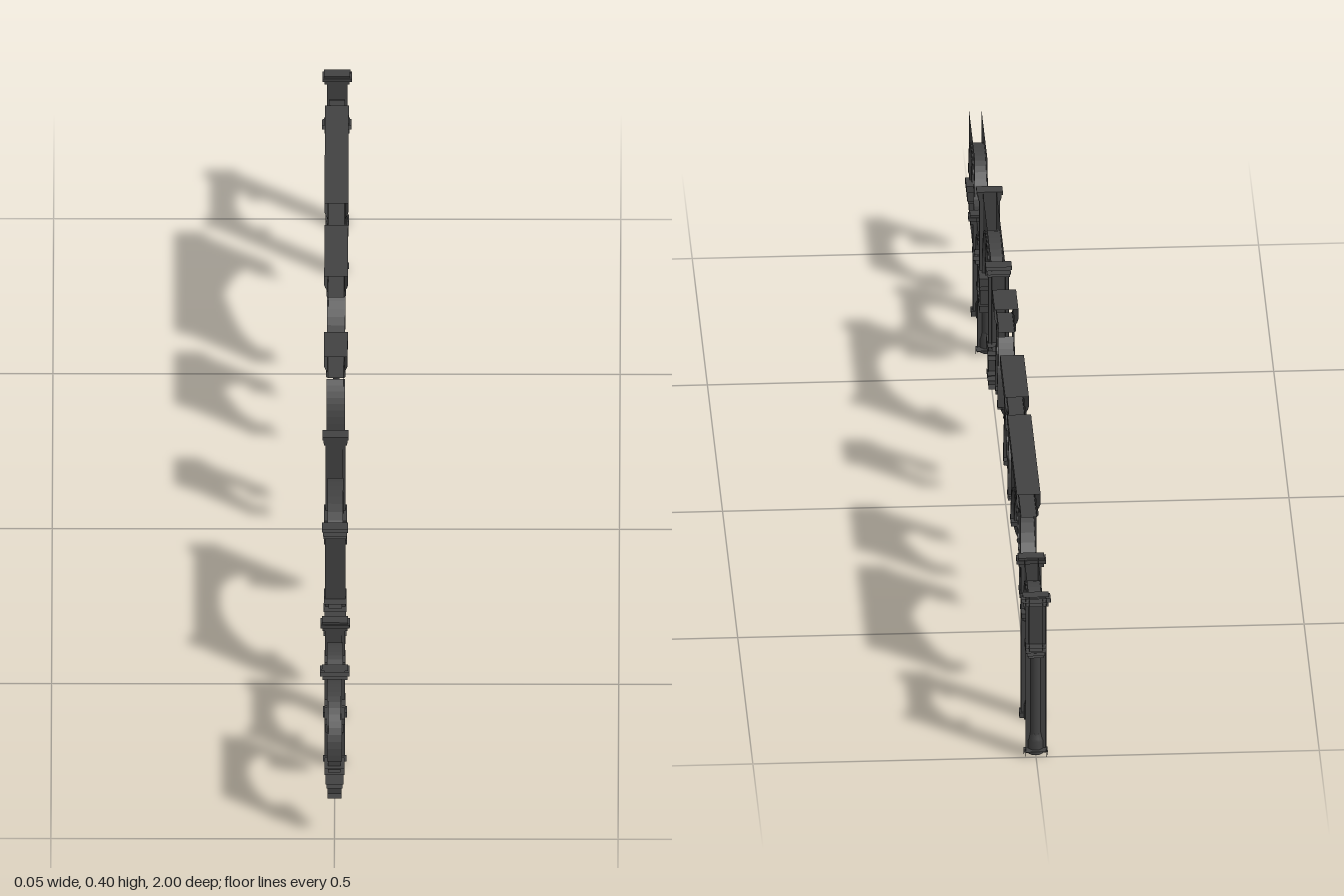
import * as THREE from 'three';

// the modules are open shells, so both sides show
const stone = new THREE.MeshStandardMaterial({ color: 0x424242, side: THREE.DoubleSide });
stone.name = 'darkStone';

function add(parent, geo, name) {
  const m = new THREE.Mesh(geo, stone);
  m.name = name;
  parent.add(m);
  return m;
}

// block without the listed faces (0..5 = +x -x +y -y +z -z)
function box(parent, name, hx, y0, y1, z0, z1, missing) {
  const g = new THREE.BoxGeometry(2 * hx, y1 - y0, Math.abs(z1 - z0));
  g.setIndex([...g.index.array].filter((_, i) => !missing.includes(Math.floor(i / 6))));
  g.clearGroups();
  add(parent, g, name).position.set(0, (y0 + y1) / 2, (z0 + z1) / 2);
}

// stacked blocks [y0, y1, half thickness, length] growing inwards from both open outer ends
function stack(parent, name, half, rows, missing = []) {
  for (const s of [-1, 1])
    for (const [y0, y1, hx, len] of rows)
      box(parent, name, hx, y0, y1, s * half, s * (half - len), [s > 0 ? 4 : 5, ...missing]);
}

// opening outline from +w to -w, as offsets above the springing line
function outline(w, h, pointed) {
  if (!pointed) {
    return Array.from({ length: 25 }, (_, i) => {
      const a = (Math.PI * i) / 24;
      return new THREE.Vector2(w * Math.cos(a), h * Math.sin(a));
    });
  }
  const side = new THREE.CubicBezierCurve(
    new THREE.Vector2(w, 0), new THREE.Vector2(w, 0.52 * h),
    new THREE.Vector2(0.62 * w, 0.76 * h), new THREE.Vector2(0, h)).getPoints(10);
  return [...side, ...side.slice(0, -1).reverse().map(p => new THREE.Vector2(-p.x, p.y))];
}

// remove the flat faces at the two outer ends, and at the given height if any
function openShell(geo, half, top = Infinity) {
  const p = geo.attributes.position.array, keep = [];
  for (let i = 0; i < p.length; i += 9) {
    const flat = (axis, v) => [0, 3, 6].every(k => Math.abs(p[i + k + axis] - v) < 1e-5);
    if (!flat(2, half) && !flat(2, -half) && !flat(1, top)) keep.push(...p.slice(i, i + 9));
  }
  const out = new THREE.BufferGeometry();
  out.setAttribute('position', new THREE.Float32BufferAttribute(keep, 3));
  out.computeVertexNormals();
  return out;
}

// outline in the z-y plane, given thickness across x
function slab(shape, hx) {
  const g = new THREE.ExtrudeGeometry(shape, { depth: 2 * hx, bevelEnabled: false });
  return g.translate(0, 0, -hx).rotateY(-Math.PI / 2);
}

// wall with an arched opening cut through its lower edge
function wall(parent, half, bottom, top, spring, w, h, pointed, hx) {
  const s = new THREE.Shape();
  s.moveTo(-half, bottom);
  s.lineTo(-half, top);
  s.lineTo(half, top);
  s.lineTo(half, bottom);
  s.lineTo(w, bottom);
  for (const p of outline(w, h, pointed)) s.lineTo(p.x, spring + p.y);
  s.lineTo(-w, bottom);
  s.closePath();
  add(parent, openShell(slab(s, hx), half, top), 'wall');
}

// arch band between two outlines
function band(parent, name, spring, bottom, wIn, hIn, wOut, hOut, pointed, hx) {
  const s = new THREE.Shape();
  s.moveTo(wIn, bottom);
  s.lineTo(wOut, bottom);
  for (const p of outline(wOut, hOut, pointed)) s.lineTo(p.x, spring + p.y);
  s.lineTo(-wOut, bottom);
  s.lineTo(-wIn, bottom);
  for (const p of outline(wIn, hIn, pointed).reverse()) s.lineTo(p.x, spring + p.y);
  s.closePath();
  add(parent, slab(s, hx), name);
}

function arch(parent, half, bottom, top, spring, w, h, pointed, hx) {
  wall(parent, half, bottom, top, spring, w + 0.009, h + 0.009, pointed, hx);
  band(parent, 'innerArchRing', spring, bottom, w, h, w + 0.009, h + 0.009, pointed, hx * 0.72);
  band(parent, 'archMoulding', spring, spring, w + 0.009, h + 0.009, w + 0.014, h + 0.014, pointed, hx + 0.002);
}

function section(root, name, z) {
  const g = new THREE.Group();
  g.name = name;
  g.position.z = z;
  root.add(g);
  return g;
}

// round arch on full height piers with inner columns
function pierArch(root, name, z, half, top, spring, w, capY) {
  const g = section(root, name, z);
  arch(g, half, capY, top, spring, w, w, false, 0.012);
  stack(g, 'pier', half, [[0, top - 0.002, 0.018, 0.018]], [3]);
  stack(g, 'pierBase', half, [[0, 0.01, 0.021, 0.021]], [3]);
  stack(g, 'pierCap', half, [
    [top - 0.019, top - 0.012, 0.022, 0.020],
    [top - 0.011, top - 0.004, 0.026, 0.024],
    [top - 0.004, top, 0.023, 0.022]]);
  stack(g, 'columnCapital', half, [
    [capY - 0.003, capY + 0.006, 0.0185, 0.040],
    [capY - 0.009, capY - 0.003, 0.016, 0.037],
    [capY - 0.013, capY - 0.009, 0.013, 0.034]]);
  for (const s of [-1, 1]) {
    const zc = s * (half - 0.021);
    const shaft = add(g, new THREE.CylinderGeometry(0.01, 0.01, capY - 0.04, 12, 1, true), 'column');
    shaft.position.set(0, (capY + 0.03) / 2, zc);
    const profile = [[0.014, 0], [0.014, 0.025], [0.012, 0.03], [0.01, 0.04]];
    const base = new THREE.LatheGeometry(profile.map(p => new THREE.Vector2(...p)), 8, Math.PI / 8);
    add(g, base, 'columnBase').position.z = zc;
  }
}

// pointed arch hanging on small corbels under a cornice
function pointedArch(root, name, z, half, low, spring, w, apex) {
  const g = section(root, name, z);
  arch(g, half, spring, 0.367, spring, w, apex - spring, true, 0.014);
  // cornice profile swept along the wall head, open at both ends
  const s = new THREE.Shape();
  const edge = [[0.014, 0.352], [0.017, 0.355], [0.017, 0.362], [0.015, 0.365],
    [0.019, 0.372], [0.021, 0.378], [0.021, 0.397]];
  edge.forEach(([x, y], i) => (i ? s.lineTo(x, y) : s.moveTo(x, y)));
  [...edge].reverse().forEach(([x, y]) => s.lineTo(-x, y));
  s.closePath();
  const c = new THREE.ExtrudeGeometry(s, { depth: 2 * half, bevelEnabled: false }).translate(0, 0, -half);
  add(g, openShell(c, half), 'cornice');
  // tapering corbels
  const d = spring - low;
  const profile = [[0, 0], [0.004, 0.03], [0.006, 0.15], [0.004, 0.28], [0.008, 0.5], [0.011, 0.75], [0.012, 1], [0, 1]];
  const zc = Math.min(w + 0.004, half - 0.011);
  for (const side of [-1, 1]) {
    const lathe = new THREE.LatheGeometry(profile.map(([r, t]) => new THREE.Vector2(r, t * d)), 8, Math.PI / 8);
    add(g, lathe, 'corbel').position.set(0, low, side * zc);
  }
  stack(g, 'corbelCap', half, [[spring - 0.004, spring + 0.004, 0.016, half - zc + 0.01]]);
}

export function createModel() {
  const root = new THREE.Group();
  root.name = 'archSet';

  // small round arch on stepped brackets
  const a = section(root, 'smallRoundArch', 0.901);
  arch(a, 0.099, 0.14, 0.278, 0.16, 0.08, 0.08, false, 0.011);
  stack(a, 'bracket', 0.099, [
    [0.135, 0.147, 0.018, 0.037],
    [0.115, 0.135, 0.016, 0.031],
    [0.106, 0.115, 0.014, 0.024],
    [0.085, 0.106, 0.012, 0.017]]);

  pierArch(root, 'lowPierArch', 0.676, 0.089, 0.2, 0.12, 0.055, 0.122);

  // wide round arch on stepped brackets
  const c = section(root, 'wideRoundArch', 0.386);
  arch(c, 0.161, 0.19, 0.355, 0.195, 0.124, 0.124, false, 0.012);
  stack(c, 'pilaster', 0.161, [[0.13, 0.34, 0.018, 0.018]]);
  stack(c, 'pilasterCap', 0.161, [
    [0.336, 0.341, 0.02, 0.02],
    [0.341, 0.348, 0.021, 0.022],
    [0.349, 0.355, 0.023, 0.024]]);
  stack(c, 'bracket', 0.161, [
    [0.182, 0.198, 0.020, 0.052],
    [0.172, 0.182, 0.019, 0.045],
    [0.142, 0.172, 0.018, 0.04],
    [0.132, 0.142, 0.02, 0.028],
    [0.115, 0.132, 0.018, 0.02]]);

  pointedArch(root, 'lancetArch', 0.013, 0.04, 0.175, 0.205, 0.026, 0.31);
  pointedArch(root, 'mediumPointedArch', -0.29, 0.083, 0.155, 0.198, 0.062, 0.313);
  pointedArch(root, 'widePointedArch', -0.6, 0.158, 0.155, 0.198, 0.13, 0.313);

  pierArch(root, 'tallPierArch', -0.9115, 0.0885, 0.315, 0.227, 0.055, 0.208);
  return root;
}
